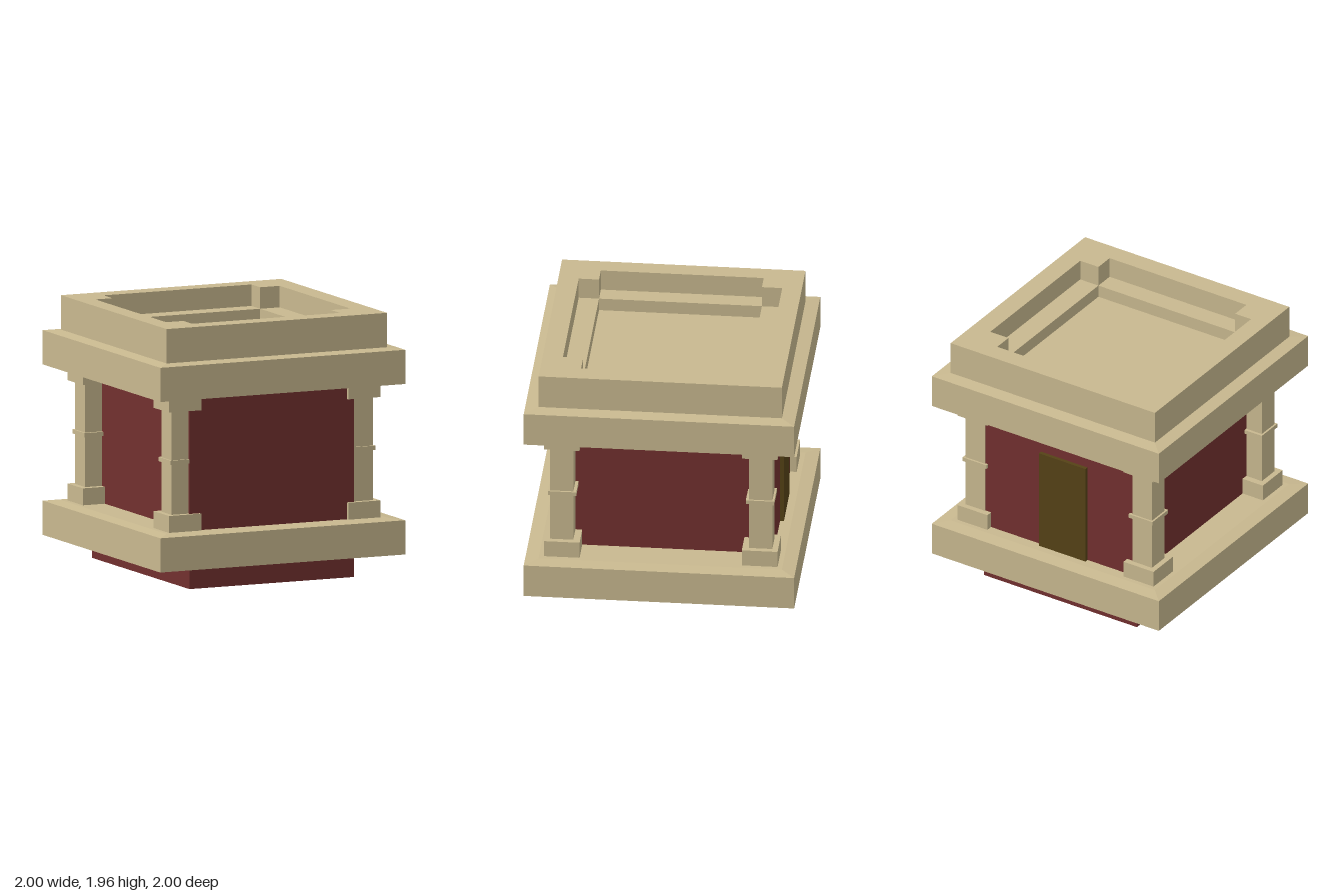
import * as THREE from 'three';

const stone = new THREE.MeshStandardMaterial({ color: 0xc8b88f, flatShading: true });
const red = new THREE.MeshStandardMaterial({ color: 0x72302f, flatShading: true });
const wood = new THREE.MeshStandardMaterial({ color: 0x554216, flatShading: true });

// Box given by its minimum and maximum corners
function box(name, mat, [x0, y0, z0], [x1, y1, z1]) {
  const mesh = new THREE.Mesh(new THREE.BoxGeometry(x1 - x0, y1 - y0, z1 - z0), mat);
  mesh.position.set((x0 + x1) / 2, (y0 + y1) / 2, (z0 + z1) / 2);
  mesh.name = name;
  return mesh;
}

// Square frustum: half-widths at the bottom and top
function frustum(name, half0, half1, y0, y1) {
  const geo = new THREE.CylinderGeometry(half1 * Math.SQRT2, half0 * Math.SQRT2, y1 - y0, 4);
  geo.rotateY(Math.PI / 4);
  const mesh = new THREE.Mesh(geo, stone);
  mesh.position.y = (y0 + y1) / 2;
  mesh.name = name;
  return mesh;
}

// Wide slab with a shallow sloped top edge
function slab(name, y) {
  const group = new THREE.Group();
  group.name = name;
  group.add(box(name + 'Body', stone, [-1, y, -1], [1, y + 0.255, 1]));
  group.add(frustum(name + 'Slope', 1, 0.9, y + 0.255, y + 0.267));
  return group;
}

// Square parapet layer with a hole outlined by [x, z] points
function parapetLayer(name, hole, y0, y1) {
  const toPoints = (list) => list.map(([x, z]) => new THREE.Vector2(x, -z));
  const shape = new THREE.Shape(toPoints([[-0.9, 0.9], [0.9, 0.9], [0.9, -0.9], [-0.9, -0.9]]));
  shape.holes.push(new THREE.Path(toPoints(hole)));
  const geo = new THREE.ExtrudeGeometry(shape, { depth: y1 - y0, bevelEnabled: false });
  geo.rotateX(-Math.PI / 2);
  const mesh = new THREE.Mesh(geo, stone);
  mesh.position.y = y0;
  mesh.name = name;
  return mesh;
}

// Corner column: plinth, shaft, ring and capital
function column(name, sx, sz) {
  const group = new THREE.Group();
  group.name = name;
  const parts = [
    ['plinth', 0.732, 0.132, 0.425, 0.56],
    ['shaft', 0.736, 0.086, 0.55, 1.34],
    ['ring', 0.732, 0.105, 0.935, 0.966],
    ['capital', 0.732, 0.132, 1.33, 1.44],
  ];
  for (const [part, c, h, y0, y1] of parts) {
    const x = sx * c, z = sz * c;
    group.add(box(part, stone, [x - h, y0, z - h], [x + h, y1, z + h]));
  }
  return group;
}

export function createModel() {
  const model = new THREE.Group();
  model.name = 'building';

  // Walls and rear door
  model.add(box('walls', red, [-0.685, 0, -0.815], [0.66, 1.5, 0.84]));
  model.add(box('door', wood, [-0.25, 0.4, -0.843], [0.16, 1.23, -0.8]));

  // Base and roof slabs
  model.add(slab('base', 0.167));
  model.add(slab('roof', 1.437));

  // Four corner columns
  for (const sx of [-1, 1]) {
    for (const sz of [-1, 1]) {
      model.add(column((sz > 0 ? 'front' : 'back') + (sx > 0 ? 'Left' : 'Right') + 'Column', sx, sz));
    }
  }

  // Parapet: inner rectangle below, cross-shaped opening above
  const [xa, xb, za, zb] = [-0.62, 0.585, -0.605, 0.6];
  const [xA, xB, zA, zB] = [-0.76, 0.745, -0.755, 0.75];
  model.add(parapetLayer('parapetLedge', [[xa, za], [xb, za], [xb, zb], [xa, zb]], 1.7, 1.8));
  model.add(parapetLayer('parapetRim', [
    [xa, zA], [xb, zA], [xb, za], [xB, za], [xB, zb], [xb, zb],
    [xb, zB], [xa, zB], [xa, zb], [xA, zb], [xA, za], [xa, za],
  ], 1.8, 1.96));

  return model;
}
